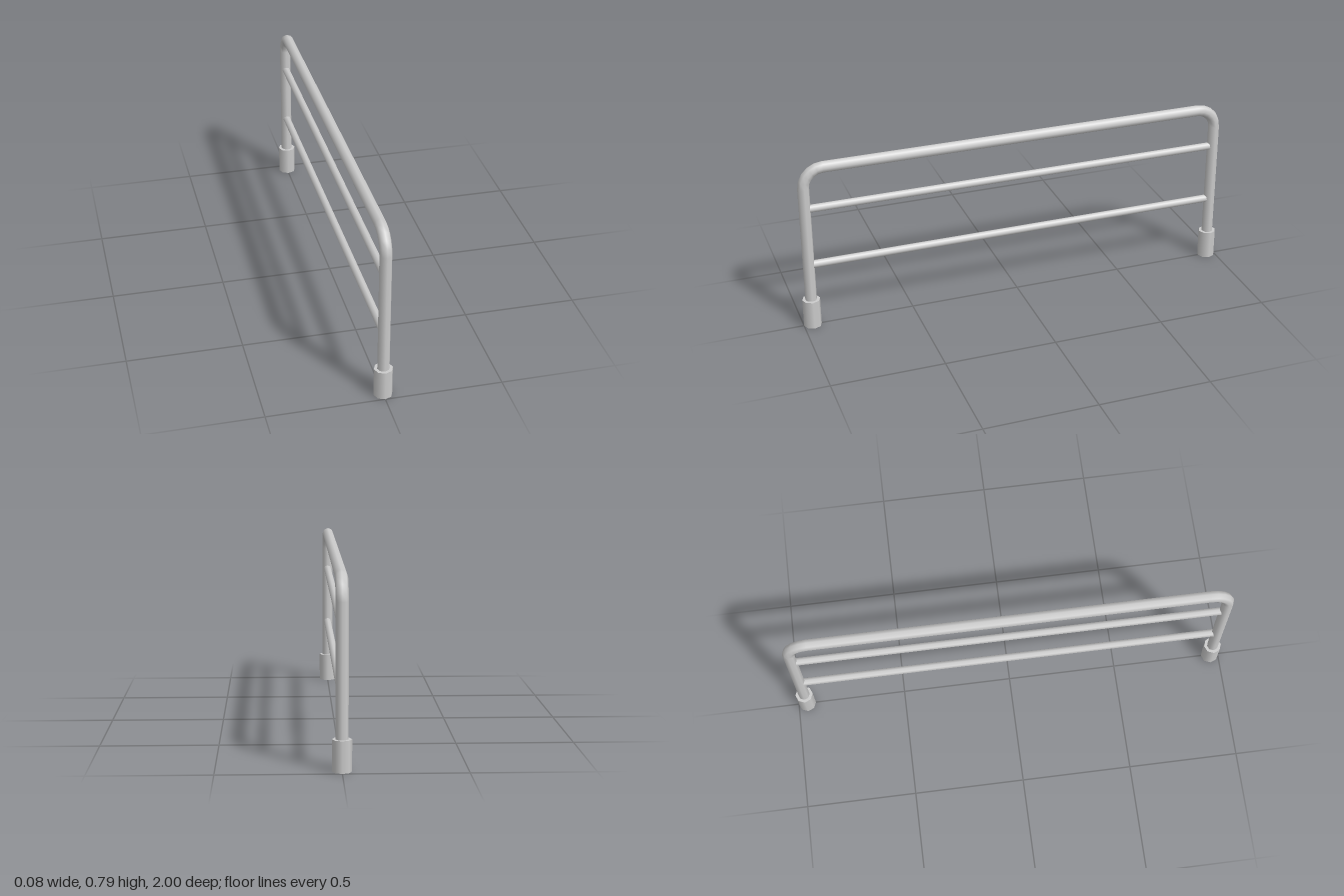
import * as THREE from 'three';

const SIDES = 8;
const LEG_Z = 0.96, TOP_Y = 0.761, BEND = 0.088, TUBE = 0.026;
const FOOT_H = 0.13, FOOT_R = 0.04, RAIL_R = 0.018, RAIL_END = 0.946;

export function createModel() {
  const model = new THREE.Group();
  model.name = 'guardRail';
  const material = new THREE.MeshStandardMaterial({ color: 0xcccccc });

  const add = (name, geometry, x, y, z) => {
    const mesh = new THREE.Mesh(geometry, material);
    mesh.name = name;
    mesh.position.set(x, y, z);
    model.add(mesh);
    return mesh;
  };

  // Horizontal bar running front to back
  const bar = (name, radius, halfLength, y, open) => add(name,
    new THREE.CylinderGeometry(radius, radius, halfLength * 2, SIDES, 1, open).rotateX(Math.PI / 2), 0, y, 0);

  bar('topRail', TUBE, LEG_Z - BEND, TOP_Y, true);
  bar('upperCrossbar', RAIL_R, RAIL_END, 0.573, false);
  bar('lowerCrossbar', RAIL_R, RAIL_END, 0.302, false);

  const legTop = TOP_Y - BEND, legBottom = 0.06;
  for (const [end, s] of [['front', 1], ['back', -1]]) {
    // Upright, sunk into its foot
    add(end + 'Leg', new THREE.CylinderGeometry(TUBE, TUBE, legTop - legBottom, SIDES, 1, true),
      0, (legTop + legBottom) / 2, s * LEG_Z);

    // Quarter bend joining the upright to the top rail
    add(end + 'Bend', new THREE.TorusGeometry(BEND, TUBE, SIDES, 5, Math.PI / 2).rotateY(-s * Math.PI / 2),
      0, legTop, s * (LEG_Z - BEND));

    // Sleeve foot
    add(end + 'Foot', new THREE.CylinderGeometry(FOOT_R, FOOT_R, FOOT_H, SIDES),
      0, FOOT_H / 2, s * LEG_Z);
  }
  return model;
}
